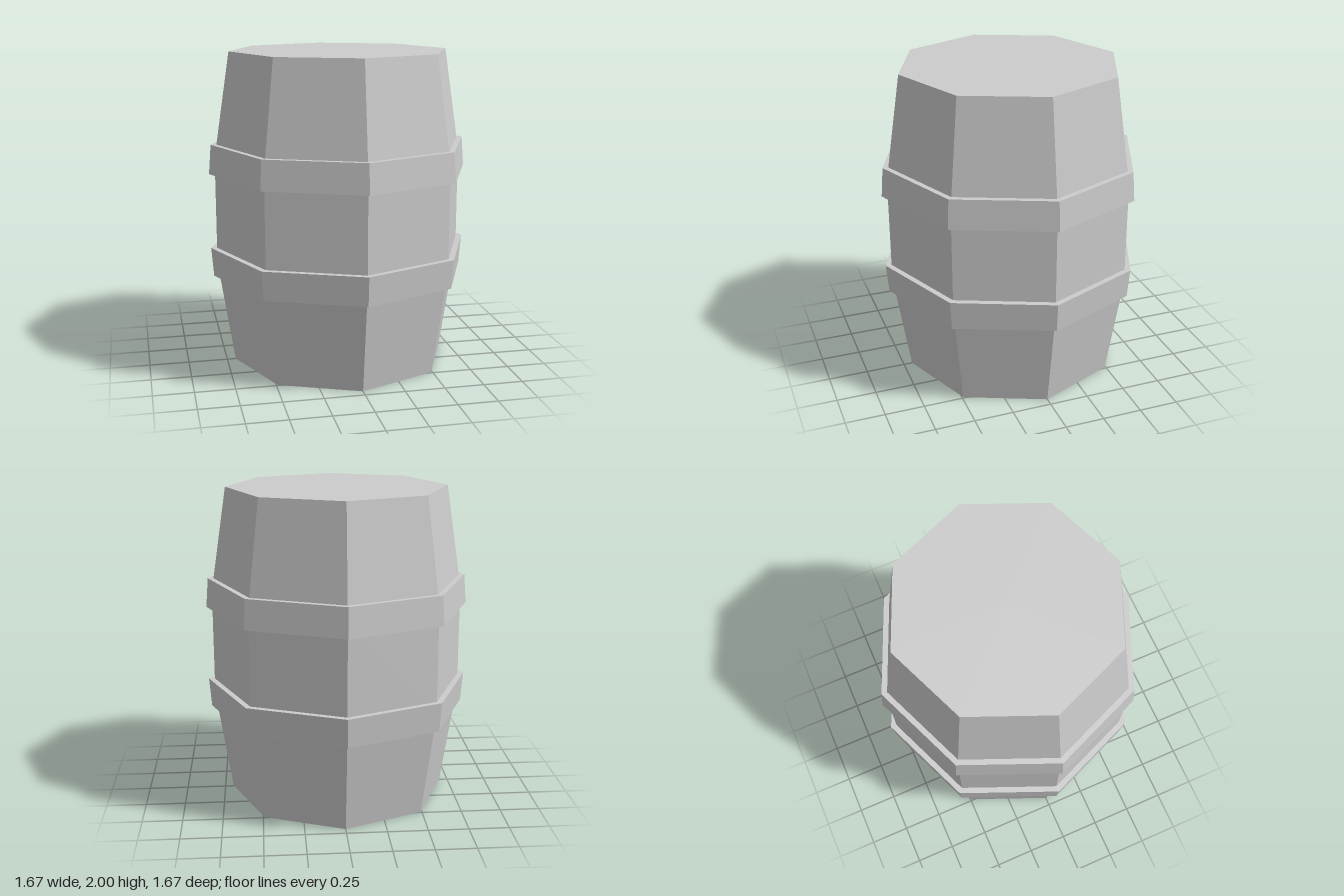
import * as THREE from 'three';

const SIDES = 8;
const material = new THREE.MeshStandardMaterial({ color: 0xcccccc, flatShading: true });

// Eight-sided turned part from [radius, height] pairs, listed bottom to top
function turned(name, profile) {
  const points = profile.map(([r, y]) => new THREE.Vector2(r, y));
  const mesh = new THREE.Mesh(new THREE.LatheGeometry(points, SIDES), material);
  mesh.name = name;
  return mesh;
}

export function createModel() {
  const barrel = new THREE.Group();
  barrel.name = 'barrel';

  // Staves with flat lids; the bends are hidden beneath the hoops
  barrel.add(turned('body', [
    [0, 0], [0.695, 0], [0.797, 0.66], [0.797, 1.34], [0.695, 2], [0, 2],
  ]));

  // Hoops, widest on the edge nearest the middle of the barrel
  barrel.add(turned('lowerHoop', [
    [0.783, 0.575], [0.82, 0.575], [0.835, 0.76], [0.797, 0.76],
  ]));
  barrel.add(turned('upperHoop', [
    [0.797, 1.24], [0.835, 1.24], [0.82, 1.425], [0.783, 1.425],
  ]));

  return barrel;
}
